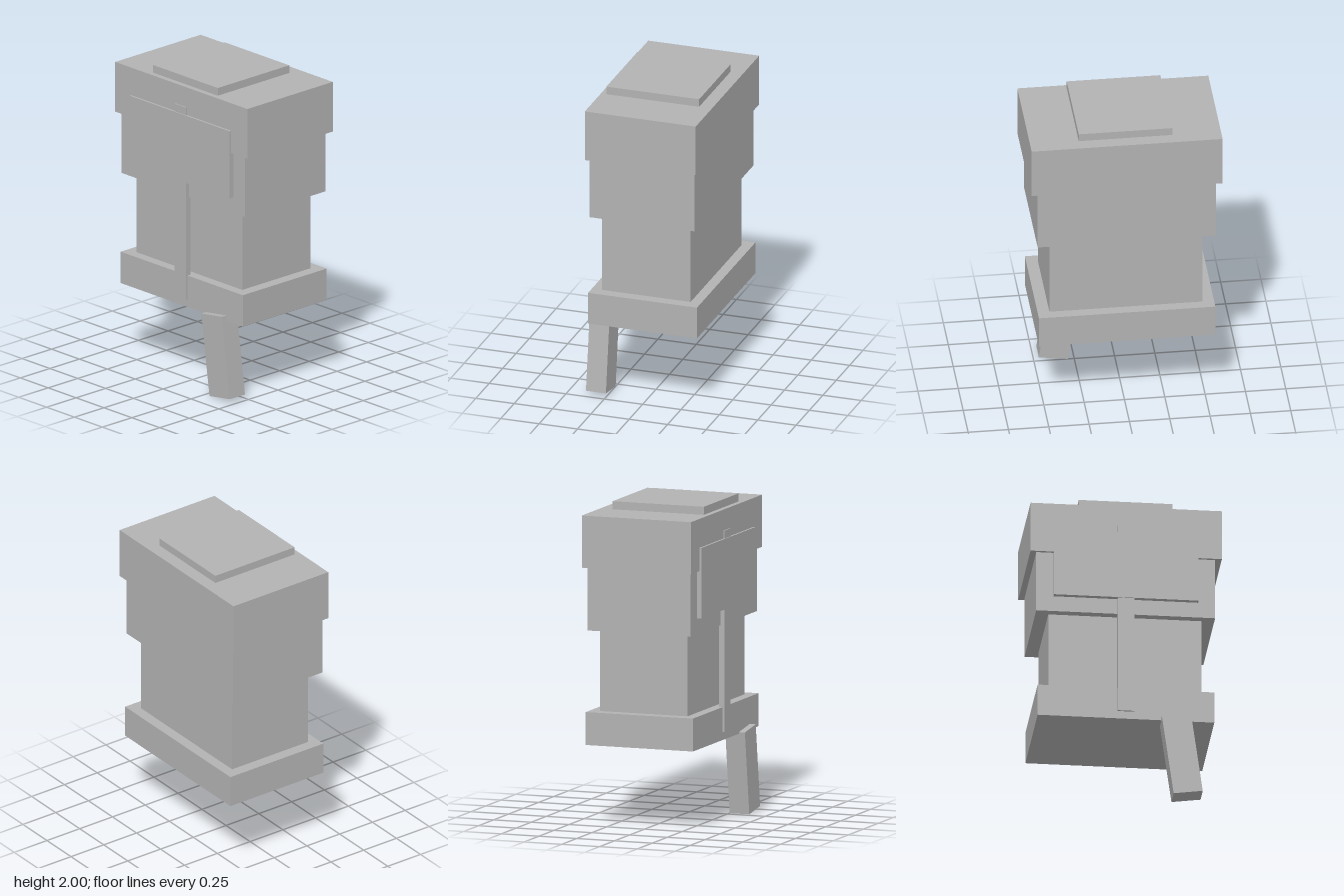
import * as THREE from 'three';

export function createModel() {
  const group = new THREE.Group();
  const grey = new THREE.MeshStandardMaterial({ color: 0xb2b2b2 });
  grey.name = 'grey';

  // Box given by its extents along each axis
  function block(name, [x0, x1], [y0, y1], [z0, z1]) {
    const mesh = new THREE.Mesh(new THREE.BoxGeometry(x1 - x0, y1 - y0, z1 - z0), grey);
    mesh.position.set((x0 + x1) / 2, (y0 + y1) / 2, (z0 + z1) / 2);
    mesh.name = name;
    group.add(mesh);
    return mesh;
  }

  // Stacked body
  block('base', [-0.549, 0.545], [0.515, 0.72], [-0.37, 0.34]);
  block('lowerBody', [-0.476, 0.472], [0.72, 1.23], [-0.303, 0.275]);
  block('upperBody', [-0.556, 0.551], [1.23, 1.625], [-0.355, 0.327]);
  block('cap', [-0.593, 0.591], [1.625, 1.95], [-0.378, 0.345]);
  block('topPlate', [-0.291, 0.289], [1.95, 2.0], [-0.295, 0.31]);

  // Front panel and the strip running down from behind it
  block('frontPanel', [-0.449, 0.446], [1.33, 1.77], [0.322, 0.358]);
  block('frontStrip', [-0.054, 0.05], [0.565, 1.82], [0.317, 0.352]);

  // Tilted leg hanging below the base
  const leg = block('leg', [0.2515, 0.4335], [0.015, 0.54], [0.25, 0.38]);
  leg.rotation.z = 0.139;

  return group;
}
